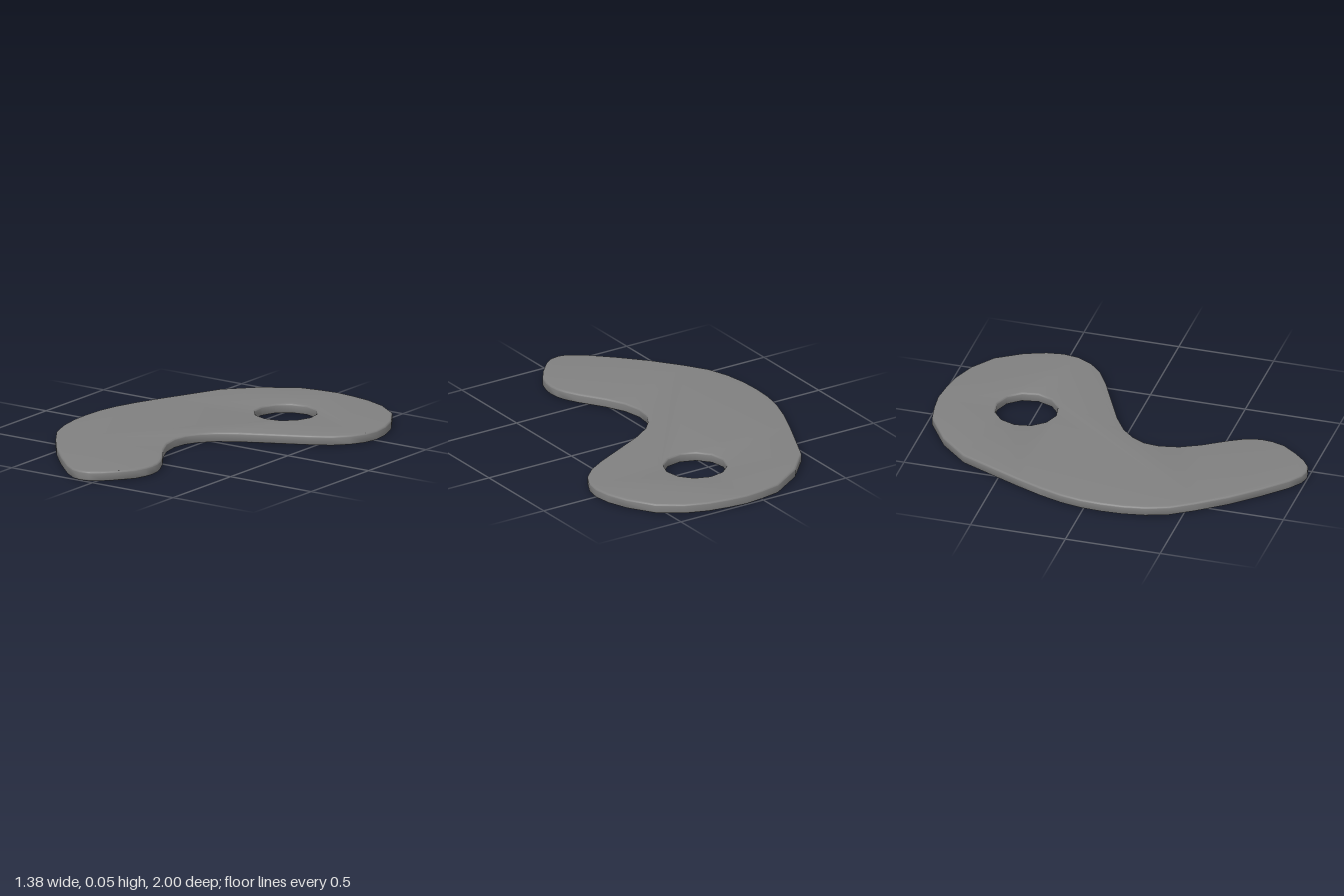
import * as THREE from 'three';
import { toCreasedNormals } from 'three/addons/utils/BufferGeometryUtils.js';

const THICKNESS = 0.05;
const BEVEL = 0.01;

// Plate outline as [x, z], clockwise seen from above
const OUTLINE = [
  // wide rounded head
  [-0.425, -0.71], [-0.29, -0.855], [-0.11, -0.97], [0, -0.99], [0.1, -1],
  [0.2, -0.99], [0.31, -0.97], [0.43, -0.925], [0.55, -0.84], [0.635, -0.71],
  [0.677, -0.6], [0.69, -0.51], [0.677, -0.43], [0.635, -0.35], [0.57, -0.285],
  // inner curve
  [0.47, -0.225], [0.155, -0.07], [0.055, -0.005], [-0.005, 0.06], [-0.042, 0.13],
  [-0.05, 0.21], [-0.03, 0.31], [0.02, 0.41], [0.1, 0.53],
  // narrow tip
  [0.138, 0.6], [0.155, 0.65], [0.16, 0.7], [0.155, 0.75], [0.135, 0.815],
  [0.08, 0.89], [0.02, 0.955], [-0.03, 0.99], [-0.08, 1], [-0.13, 0.988], [-0.2, 0.94],
  // outer curve
  [-0.32, 0.825], [-0.44, 0.695], [-0.55, 0.55], [-0.625, 0.435], [-0.665, 0.32],
  [-0.685, 0.205], [-0.69, 0.095], [-0.685, -0.015], [-0.665, -0.125],
  [-0.625, -0.25], [-0.57, -0.385],
];

// Twelve-sided hole through the head
function holePath() {
  const points = [];
  for (let i = 0; i < 12; i++) {
    const a = (i / 12) * Math.PI * 2 - 0.09;
    points.push(new THREE.Vector2(0.105 + 0.16 * Math.cos(a), 0.535 + 0.16 * Math.sin(a)));
  }
  return new THREE.Path(points);
}

export function createModel() {
  const group = new THREE.Group();
  group.name = 'curvedPlate';

  const shape = new THREE.Shape(OUTLINE.map(([x, z]) => new THREE.Vector2(x, -z)));
  shape.holes.push(holePath());

  // Flat plate with softly rounded edges, laid down on the ground
  const geometry = new THREE.ExtrudeGeometry(shape, {
    depth: THICKNESS - 2 * BEVEL,
    bevelEnabled: true,
    bevelThickness: BEVEL,
    bevelSize: BEVEL,
    bevelOffset: -BEVEL,
    bevelSegments: 4,
  });
  geometry.translate(0, 0, BEVEL);
  geometry.rotateX(-Math.PI / 2);

  const plate = new THREE.Mesh(
    toCreasedNormals(geometry, 0.7),
    new THREE.MeshStandardMaterial({ color: 0x808080 })
  );
  plate.name = 'plate';
  group.add(plate);
  return group;
}
